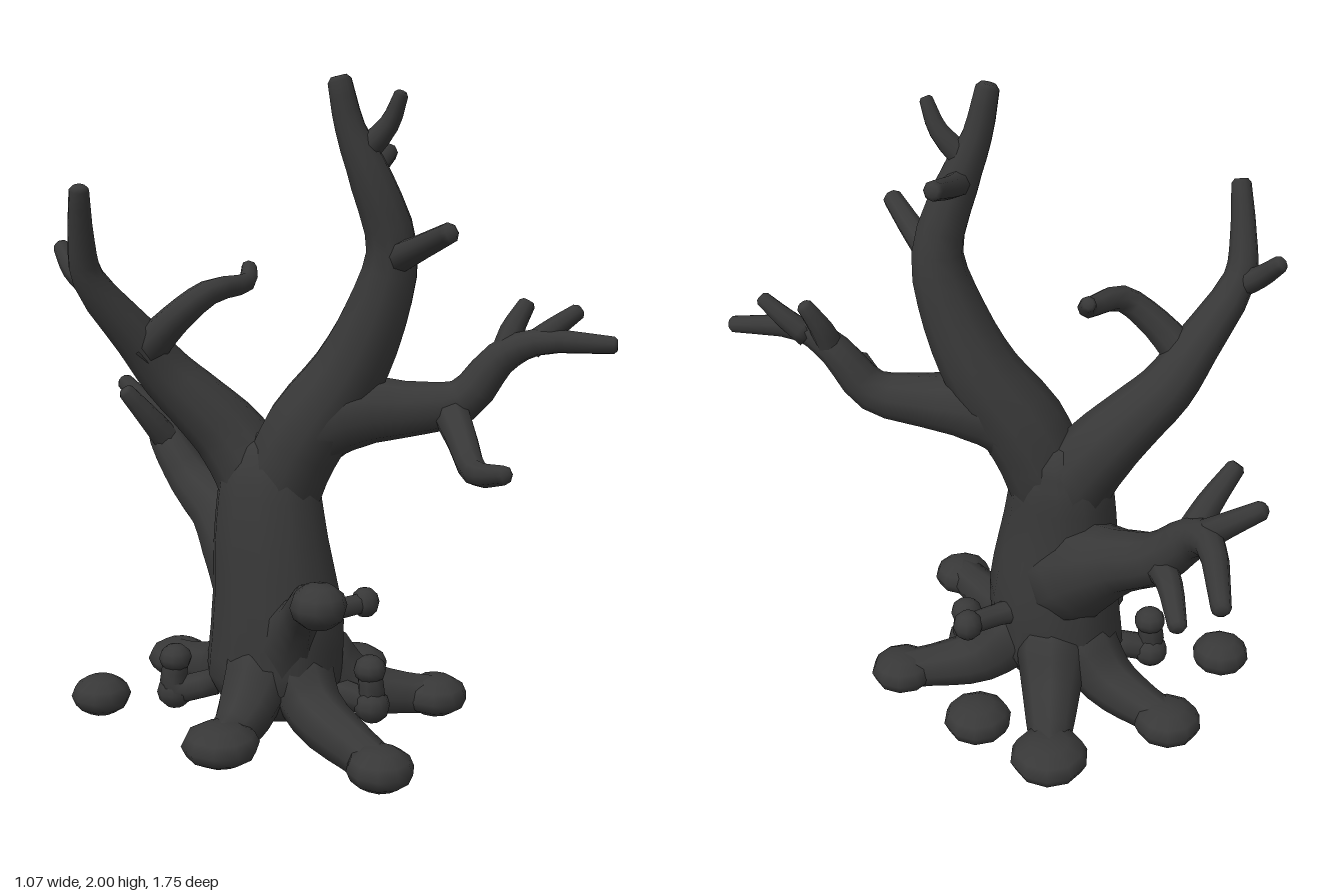
import * as THREE from 'three';

const bark = new THREE.MeshStandardMaterial({ color: 0x383838 });
bark.name = 'dark bark';

// Tapered tube through [x, y, z, radius] points with rounded ends.
function limbGeometry(points, sides = 8, steps = 3) {
  const curve = new THREE.CatmullRomCurve3(points.map(p => new THREE.Vector3(p[0], p[1], p[2])));
  const segments = points.length - 1, count = segments * steps;
  const rings = [];
  for (let i = 0; i <= count; i++) {
    const t = i / count, k = Math.min(Math.floor(t * segments), segments - 1);
    const r = THREE.MathUtils.lerp(points[k][3], points[k + 1][3], t * segments - k);
    rings.push({ c: curve.getPoint(t), d: curve.getTangent(t), r });
  }
  const last = rings[count], first = rings[0];
  rings.push({ c: last.c.clone().addScaledVector(last.d, last.r * 0.4), d: last.d, r: last.r * 0.65 });

  const pos = [], index = [];
  const n = Math.abs(first.d.y) < 0.9 ? new THREE.Vector3(0, 1, 0) : new THREE.Vector3(1, 0, 0);
  const b = new THREE.Vector3();
  for (const { c, d, r } of rings) {
    n.addScaledVector(d, -n.dot(d)).normalize();
    b.crossVectors(d, n);
    for (let j = 0; j < sides; j++) {
      const a = j / sides * Math.PI * 2, u = Math.cos(a) * r, v = Math.sin(a) * r;
      pos.push(c.x + n.x * u + b.x * v, c.y + n.y * u + b.y * v, c.z + n.z * u + b.z * v);
    }
  }
  for (let i = 0; i < rings.length - 1; i++) {
    for (let j = 0; j < sides; j++) {
      const a = i * sides + j, a2 = i * sides + (j + 1) % sides;
      index.push(a, a2, a + sides, a2, a2 + sides, a + sides);
    }
  }
  // end caps
  const end = rings[rings.length - 1], base = (rings.length - 1) * sides, s = pos.length / 3;
  pos.push(first.c.x, first.c.y, first.c.z, end.c.x, end.c.y, end.c.z);
  for (let j = 0; j < sides; j++) {
    const k = (j + 1) % sides;
    index.push(s, k, j, s + 1, base + j, base + k);
  }
  const g = new THREE.BufferGeometry();
  g.setAttribute('position', new THREE.Float32BufferAttribute(pos, 3));
  g.setIndex(index);
  g.computeVertexNormals();
  return g;
}

export function createModel() {
  const tree = new THREE.Group();
  tree.name = 'bareTree';

  const limb = (name, points, sides) => {
    const mesh = new THREE.Mesh(limbGeometry(points, sides), bark);
    mesh.name = name;
    tree.add(mesh);
    return mesh;
  };
  const knob = (name, x, y, z, r, h = r) => {
    const mesh = new THREE.Mesh(new THREE.SphereGeometry(1, 10, 6), bark);
    mesh.name = name;
    mesh.position.set(x, y, z);
    mesh.scale.set(r, h, r);
    tree.add(mesh);
  };

  // Trunk, a little deeper than wide
  limb('trunk', [[-0.02, 0.05, 0, 0.14], [-0.02, 0.16, 0, 0.2], [-0.015, 0.35, 0.008, 0.195],
    [-0.025, 0.6, -0.008, 0.168], [-0.015, 0.78, -0.02, 0.146], [0, 0.88, -0.02, 0.11]], 12).scale.z = 1.15;

  // Tall front branch and its twigs
  limb('tallBranch', [[-0.015, 0.55, 0, 0.1], [0, 0.78, 0.025, 0.133], [0.04, 0.95, 0.09, 0.135],
    [0.11, 1.12, 0.185, 0.118], [0.145, 1.3, 0.262, 0.1], [0.16, 1.5, 0.31, 0.078],
    [0.105, 1.7, 0.275, 0.065], [0.06, 1.85, 0.23, 0.045], [0.035, 1.983, 0.21, 0.036]], 10);
  limb('tallBranchFrontTwig', [[0.16, 1.46, 0.3, 0.05], [0.11, 1.515, 0.45, 0.039], [0.045, 1.57, 0.605, 0.031]]);
  limb('tallBranchSideTwig', [[0.09, 1.71, 0.27, 0.042], [0.2, 1.735, 0.21, 0.034], [0.335, 1.775, 0.147, 0.029]]);
  limb('tallBranchTopTwig', [[0.075, 1.76, 0.24, 0.045], [0.125, 1.86, 0.32, 0.03], [0.13, 1.945, 0.36, 0.021]]);

  // Back branch and its twigs
  limb('backBranch', [[-0.015, 0.55, -0.02, 0.1], [-0.02, 0.76, -0.06, 0.13], [-0.06, 0.9, -0.14, 0.115],
    [-0.125, 1.0, -0.21, 0.1], [-0.2, 1.1, -0.28, 0.086], [-0.285, 1.22, -0.322, 0.072],
    [-0.43, 1.41, -0.372, 0.05], [-0.47, 1.53, -0.35, 0.04], [-0.505, 1.675, -0.31, 0.03]], 10);
  limb('backBranchShortTwig', [[-0.42, 1.38, -0.36, 0.042], [-0.43, 1.43, -0.44, 0.034], [-0.415, 1.495, -0.515, 0.026]]);
  limb('backBranchLongTwig', [[-0.27, 1.18, -0.3, 0.062], [-0.235, 1.28, -0.21, 0.05], [-0.165, 1.365, -0.13, 0.04],
    [-0.01, 1.385, -0.125, 0.03], [0.04, 1.425, -0.163, 0.024]]);

  // Low back branch and its twigs
  limb('lowBranch', [[-0.015, 0.36, 0.02, 0.13], [0.01, 0.465, -0.09, 0.165], [0.03, 0.55, -0.2, 0.137],
    [0.045, 0.615, -0.31, 0.1], [0.055, 0.69, -0.45, 0.08], [0.055, 0.81, -0.57, 0.062],
    [0.12, 0.855, -0.67, 0.044], [0.345, 0.85, -0.855, 0.028]], 10);
  limb('lowBranchOuterTwig', [[0.06, 0.81, -0.58, 0.05], [0.07, 0.9, -0.68, 0.038], [0.05, 0.985, -0.785, 0.028]]);
  limb('lowBranchUpTwig', [[0.06, 0.79, -0.55, 0.05], [-0.02, 0.89, -0.57, 0.04], [-0.095, 0.99, -0.605, 0.028]]);
  limb('lowBranchSideTwig', [[0.04, 0.67, -0.43, 0.055], [0.14, 0.685, -0.55, 0.04], [0.245, 0.64, -0.655, 0.028]]);

  // Front branch and its twigs
  limb('frontBranch', [[0, 0.84, 0, 0.1], [0.06, 0.97, 0.12, 0.125], [0.13, 1.01, 0.22, 0.11],
    [0.21, 1.02, 0.34, 0.085], [0.305, 1.05, 0.47, 0.066], [0.365, 1.18, 0.56, 0.052],
    [0.4, 1.235, 0.66, 0.04], [0.51, 1.235, 0.855, 0.026]], 10);
  limb('frontBranchInnerTwig', [[0.365, 1.17, 0.57, 0.044], [0.4, 1.26, 0.575, 0.037], [0.437, 1.34, 0.6, 0.026]]);
  limb('frontBranchOuterTwig', [[0.4, 1.22, 0.64, 0.04], [0.44, 1.28, 0.7, 0.032], [0.463, 1.33, 0.76, 0.024]]);
  limb('frontBranchLowTwig', [[0.29, 1.03, 0.43, 0.06], [0.2, 0.96, 0.55, 0.048], [0.08, 0.905, 0.69, 0.038],
    [0.01, 0.935, 0.835, 0.027]]);

  // Flared roots ending in flattened knobs: x, z, knob radius
  const roots = [[-0.38, 0.13, 0.118], [-0.18, 0.575, 0.1], [0.36, 0.35, 0.105],
    [0.385, -0.3, 0.122], [0.02, -0.485, 0.108]];
  for (const [x, z, r] of roots) {
    const length = Math.hypot(x, z), dx = x / length, dz = z / length;
    limb('root', [[dx * 0.06, 0.3, dz * 0.06, 0.08], [dx * 0.13, 0.2, dz * 0.13, 0.115],
      [dx * 0.24, 0.105, dz * 0.24, 0.092], [x * 0.8, 0.074, z * 0.8, 0.07], [x, 0.068, z, 0.062]]);
    knob('rootKnob', x, 0.068, z, r, 0.064);
  }

  // Loose knobs on the ground
  knob('looseKnob', 0.39, 0.067, -0.01, 0.108, 0.064);
  knob('looseKnob', -0.38, 0.067, -0.42, 0.095, 0.063);

  // Raised knobs on stems, the larger one flaring out of the trunk
  limb('raisedStem', [[-0.06, 0.18, 0.07, 0.12], [-0.09, 0.31, 0.12, 0.1], [-0.14, 0.43, 0.22, 0.056],
    [-0.22, 0.53, 0.33, 0.041], [-0.34, 0.57, 0.48, 0.036]]);
  knob('raisedKnob', -0.345, 0.57, 0.485, 0.081, 0.066);
  limb('sideStem', [[0.1, 0.32, 0.03, 0.045], [0.2, 0.325, 0.07, 0.036], [0.3, 0.33, 0.1, 0.034]]);
  knob('sideKnob', 0.305, 0.33, 0.1, 0.048, 0.05);

  // Short stubs beside the roots
  for (const [x, z] of [[0.12, 0.28], [-0.23, -0.23]]) {
    limb('stub', [[x * 0.6, 0.12, z * 0.6, 0.045], [x, 0.1, z, 0.045], [x, 0.19, z, 0.04]]);
    knob('stubKnob', x, 0.2, z, 0.052, 0.045);
    knob('stubFoot', x * 0.98, 0.085, z * 1.04, 0.058, 0.055);
  }
  return tree;
}
